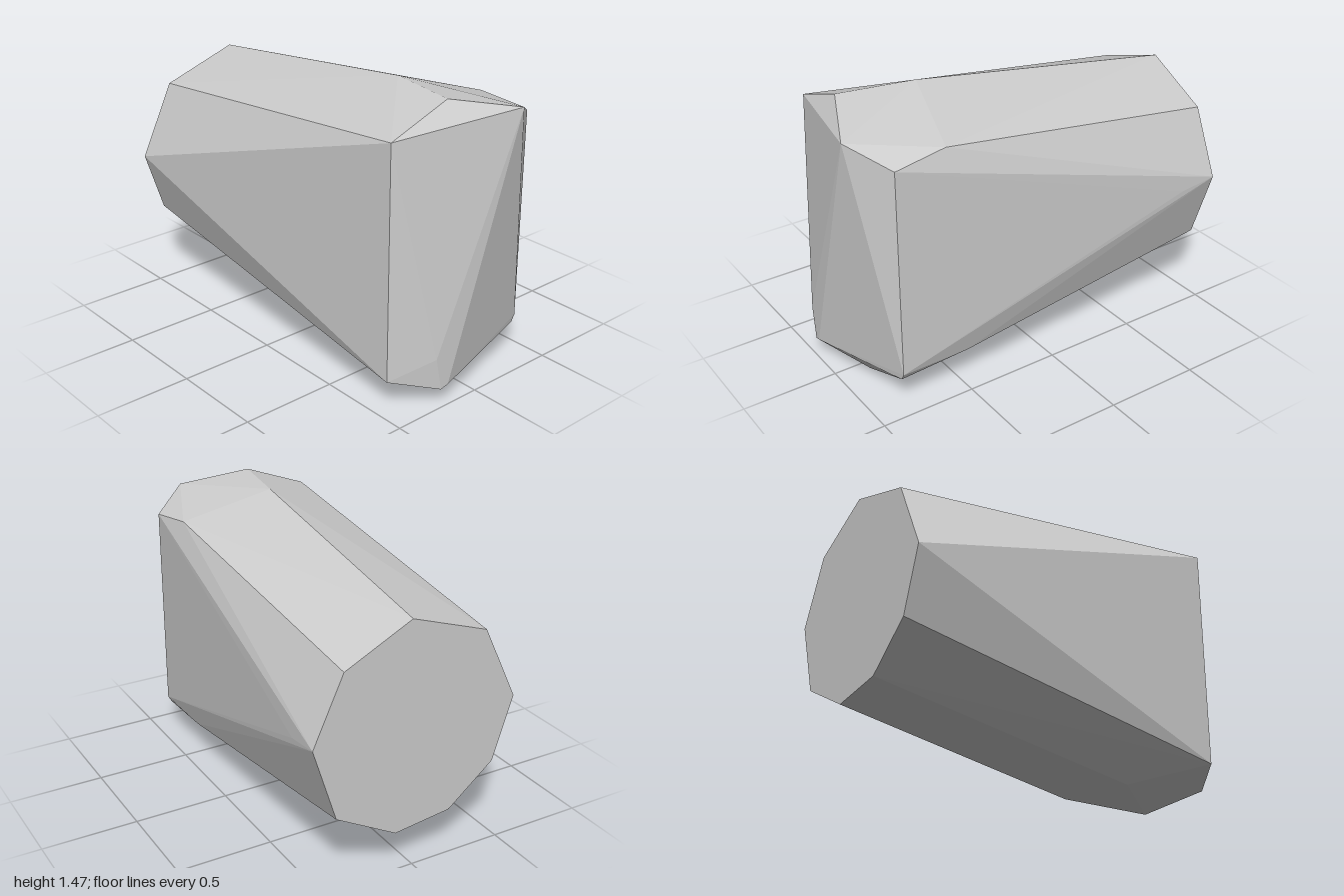
import * as THREE from 'three';
import { ConvexGeometry } from 'three/addons/geometries/ConvexGeometry.js';

export function createModel() {
  const group = new THREE.Group();
  group.name = 'facetedBlock';
  const grey = new THREE.MeshStandardMaterial({ color: 0xcccccc, flatShading: true });
  grey.name = 'stone grey';

  // flat nine-sided back end (x, y)
  const back = [
    [0.55, 0.77], [0.395, 1.115], [0.045, 1.29], [-0.365, 1.15], [-0.55, 0.77],
    [-0.447, 0.445], [-0.203, 0.245], [0.1, 0.207], [0.425, 0.385],
  ].map(([x, y]) => new THREE.Vector3(x, y, -1));

  // chipped front end (x, y, z)
  const front = [
    [0.24, 1.4, 1], [-0.22, 0.09, 0.985], [-0.25, 0.26, 0.98], [-0.18, 0.105, 0.99], // face
    [-0.44, 1.35, 0.845], [-0.44, 0.15, 0.845], // right corner edge
    [0.44, 1.3, 0.85], [0.44, 0.2, 0.85], [0.42, 0.165, 0.85], // left corner edge
    [-0.1, 1.475, 0.845], [-0.03, 1.475, 0.45], [0.42, 1.335, 0.57], // top ridge
    [0.06, 0.003, 0.83], [0.29, 0.08, 0.47], [-0.18, 0.04, 0.5], [0.43, 0.195, 0.47], // underside
    [0.54, 0.74, -0.8], // left flank
  ].map((p) => new THREE.Vector3(...p));

  const body = new THREE.Mesh(new ConvexGeometry([...back, ...front]), grey);
  body.name = 'body';
  group.add(body);
  return group;
}
